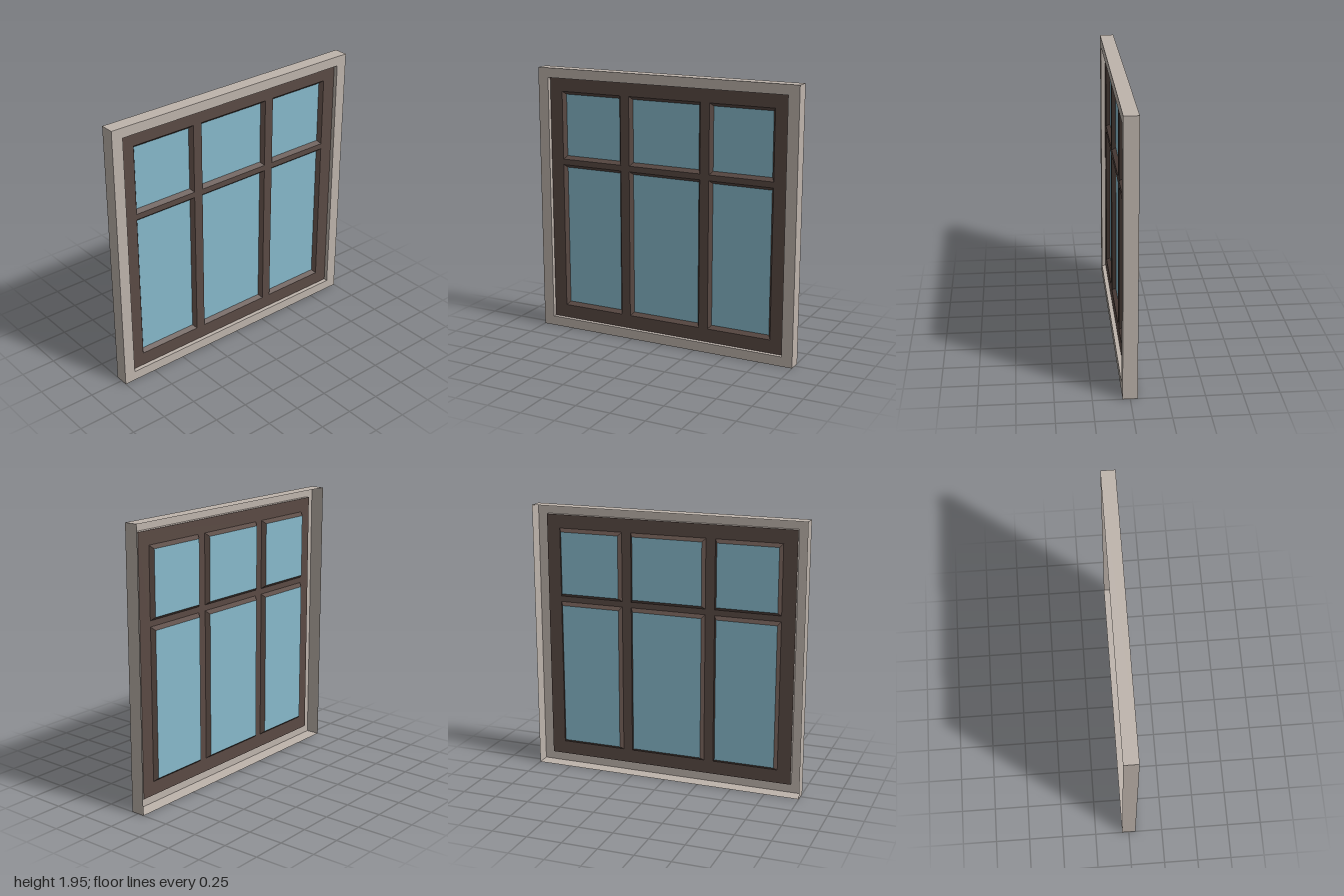
import * as THREE from 'three';

const FRONT = 0.05, BACK = -0.05, SASH = 0.02, GLASS = -0.008;

const material = (name, color) => {
  const m = new THREE.MeshStandardMaterial({ color, side: THREE.DoubleSide });
  m.name = name;
  return m;
};

// Rectangle corners, counter-clockwise from the lower left
const corners = ([x0, x1, y0, y1]) => [[x0, y0], [x1, y0], [x1, y1], [x0, y1]];

// Four flat faces joining rectangle a at depth za to rectangle b at depth zb
function ring(a, za, b, zb) {
  const A = corners(a), B = corners(b), pos = [];
  for (let i = 0; i < 4; i++) {
    const j = (i + 1) % 4;
    const p = [...A[i], za], q = [...A[j], za], r = [...B[j], zb], s = [...B[i], zb];
    pos.push(...p, ...q, ...r, ...p, ...r, ...s);
  }
  const g = new THREE.BufferGeometry();
  g.setAttribute('position', new THREE.Float32BufferAttribute(pos, 3));
  g.computeVertexNormals();
  return g;
}

const outline = (rect, Type) => new Type(corners(rect).map(([x, y]) => new THREE.Vector2(x, y)));

export function createModel() {
  const model = new THREE.Group();
  model.name = 'window';
  const stone = material('beige surround', 0xbeb4ac);
  const wood = material('brown sash', 0x5a4a44);
  const blue = material('blue glass', 0x87b9cb);

  const add = (name, geometry, mat, parent = model) => {
    const mesh = new THREE.Mesh(geometry, mat);
    mesh.name = name;
    parent.add(mesh);
    return mesh;
  };

  // Surround: a shell open at the back, with a short lip around the sash
  const outer = [-1, 1, 0, 1.95];
  const opening = [-0.92, 0.92, 0.07, 1.88];
  const surround = new THREE.Group();
  surround.name = 'surround';
  model.add(surround);
  add('surroundWalls', ring(outer, BACK, outer, FRONT), stone, surround);
  add('surroundFace', ring(outer, FRONT, opening, FRONT), stone, surround);
  add('surroundLip', ring(opening, FRONT, opening, SASH), stone, surround);

  // Sash face with six pane openings
  const columns = [[-0.822, -0.345], [-0.277, 0.277], [0.345, 0.822]];
  const rows = [[0.167, 1.245], [1.286, 1.783]];
  const panes = rows.flatMap(([y0, y1]) => columns.map(([x0, x1]) => [x0, x1, y0, y1]));
  const face = outline(opening, THREE.Shape);
  face.holes = panes.map((p) => outline(p, THREE.Path));
  add('sashFace', new THREE.ShapeGeometry(face), wood).position.z = SASH;

  // Each pane: sloping bevel running back to a flat sheet of glass
  for (const p of panes) {
    const [x0, x1, y0, y1] = p;
    const inner = [x0 + 0.02, x1 - 0.02, y0 + 0.023, y1 - 0.023];
    add('paneBevel', ring(p, SASH, inner, GLASS), wood);
    add('glassPane', new THREE.ShapeGeometry(outline(inner, THREE.Shape)), blue).position.z = GLASS;
  }
  return model;
}
